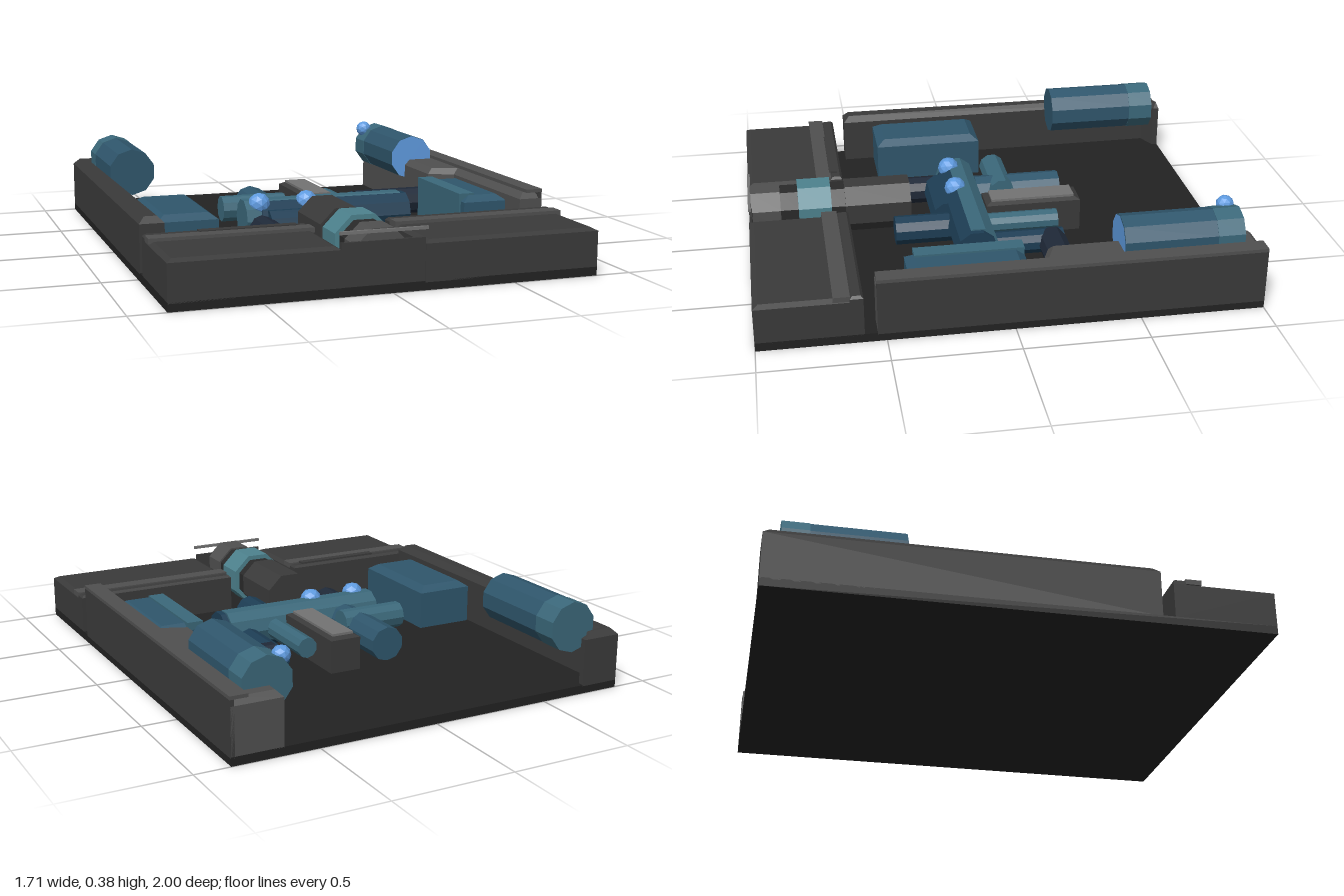
import * as THREE from 'three';

const C = {
  floor: 0x222222, hull: 0x3a3a3a, rail: 0x505050, light: 0x737373, dark: 0x2a2a2a,
  teal: 0x3b687a, pale: 0x4d828e, blue: 0x2f566c, deep: 0x1d3d54, navy: 0x1f2938, bulb: 0x5f9be0,
};

export function createModel() {
  const model = new THREE.Group();

  function add(name, geometry, color) {
    const mesh = new THREE.Mesh(geometry, new THREE.MeshStandardMaterial({ color, flatShading: true }));
    mesh.name = name;
    model.add(mesh);
    return mesh;
  }

  // Box given by its limits; the top edge is chamfered by inset and drop
  function block(name, color, [x0, x1], [y0, y1], [z0, z1], inset = 0, drop = 0) {
    const w = x1 - x0, h = y1 - y0, d = z1 - z0;
    const g = new THREE.BoxGeometry(w, h, d, 1, inset ? 2 : 1, 1);
    const p = g.attributes.position;
    for (let i = 0; inset && i < p.count; i++) {
      const y = p.getY(i);
      if (Math.abs(y) < 1e-6) p.setY(i, h / 2 - drop);
      else if (y > 0) {
        p.setX(i, p.getX(i) * (1 - 2 * inset / w));
        p.setZ(i, p.getZ(i) * (1 - 2 * inset / d));
      }
    }
    g.translate((x0 + x1) / 2, (y0 + y1) / 2, (z0 + z1) / 2);
    return add(name, g, color);
  }

  // Lying cylinder from a to b along the x or z axis
  function drum(name, color, axis, a, b, cross, y, r, sides = 10, turn = 0) {
    const g = new THREE.CylinderGeometry(r, r, b - a, sides, 1, false, turn);
    const mid = (a + b) / 2;
    if (axis === 'x') g.rotateZ(Math.PI / 2).translate(mid, y, cross);
    else g.rotateX(Math.PI / 2).translate(cross, y, mid);
    return add(name, g, color);
  }

  // Prism over a plan outline of [x, z] points with a chamfered top
  function plan(name, color, points, y0, y1, bevel) {
    const shape = new THREE.Shape(points.map(([x, z]) => new THREE.Vector2(x, -z)));
    const g = new THREE.ExtrudeGeometry(shape, {
      depth: y1 - y0 - bevel, bevelEnabled: true, bevelSegments: 1,
      bevelSize: bevel, bevelThickness: bevel, bevelOffset: -bevel,
    });
    g.rotateX(-Math.PI / 2).translate(0, y0, 0);
    return add(name, g, color);
  }

  const bulb = (name, x, y, z, r) =>
    add(name, new THREE.IcosahedronGeometry(r, 1).translate(x, y, z), C.bulb);

  // Floor and side walls
  block('floor', C.floor, [-0.855, 0.855], [0, 0.035], [-1, 1]);
  plan('rightWall', C.hull, [[-0.855, -1], [-0.69, -1], [-0.69, -0.975], [-0.77, -0.94],
    [-0.755, 0.535], [-0.855, 0.535]], 0.03, 0.25, 0.025);
  plan('leftWall', C.rail, [[0.855, -1], [0.855, 0.535], [0.755, 0.535], [0.755, -0.12],
    [0.645, -0.165], [0.645, -1]], 0.03, 0.25, 0.025);
  block('leftWallCap', C.rail, [0.785, 0.857], [0.25, 0.264], [-1, 0.535]);
  block('leftWallSkin', C.hull, [0.84, 0.856], [0.03, 0.25], [-1, 0.535]);

  // Front blocks with ledges, either side of the passage
  for (const [x0, x1] of [[-0.855, -0.205], [0.13, 0.855]]) {
    block('frontBlock', C.hull, [x0, x1], [0.03, 0.19], [0.585, 1], 0.022, 0.012);
    block('frontLedge', C.rail, [x0, x1], [0.182, 0.203], [0.635, 0.7]);
    block('ledgeBack', C.hull, [x0, x1], [0.17, 0.2], [0.585, 0.637], 0.01, 0.01);
  }
  block('ledgePlate', C.hull, [-0.645, -0.255], [0.198, 0.207], [0.605, 0.64]);

  // Passage: gate, bar and ringed tube
  block('gate', C.hull, [-0.205, 0.13], [0.03, 0.203], [0.985, 0.997]);
  block('gateBar', C.light, [-0.21, 0.14], [0.233, 0.245], [0.988, 1]);
  const tube = [
    ['tubeBody', C.hull, 0.31, 0.59, 0.113],
    ['tubeNeck', C.dark, 0.59, 0.65, 0.104],
    ['tubeRing', C.pale, 0.65, 0.79, 0.125],
    ['tubeNeck', C.dark, 0.79, 0.865, 0.104],
    ['tubeMouth', C.rail, 0.865, 0.99, 0.112],
  ];
  for (const [name, color, a, b, r] of tube) drum(name, color, 'z', a, b, -0.04, 0.145, r, 8, Math.PI / 8);

  // Side consoles
  block('rightConsole', C.blue, [-0.755, -0.505], [0.03, 0.222], [-0.075, 0.4], 0.035, 0.025);
  block('leftConsole', C.blue, [0.565, 0.76], [0.03, 0.222], [-0.075, 0.4], 0.035, 0.025);
  block('leftConsoleRidge', C.teal, [0.557, 0.625], [0.03, 0.23], [-0.075, 0.365]);

  // Rear tanks
  for (const [name, x] of [['rightTank', -0.68], ['leftTank', 0.677]]) {
    drum(name, C.blue, 'z', -0.82, -0.445, x, 0.26, 0.104);
    drum(name + 'Cap', C.teal, 'z', -0.93, -0.82, x, 0.26, 0.106);
  }
  add('leftTankFace', new THREE.CircleGeometry(0.103, 10, Math.PI / 2).translate(0.677, 0.26, -0.443), C.bulb);
  bulb('tankBulb', 0.605, 0.345, -0.895, 0.037);

  // Central cluster of cylinders
  drum('mainDrum', C.teal, 'x', -0.315, 0.395, 0.07, 0.122, 0.086);
  drum('mainDrumSleeve', C.deep, 'x', -0.25, 0.42, 0.08, 0.115, 0.088);
  drum('lowerDrum', C.deep, 'x', -0.225, 0.07, 0.15, 0.1, 0.072);
  drum('rearDrum', C.blue, 'z', -0.375, 0.0, -0.152, 0.106, 0.074);
  drum('crossDrum', C.teal, 'x', -0.36, -0.075, -0.11, 0.135, 0.056);
  drum('rearPipe', C.teal, 'z', -0.3, 0.0, 0.187, 0.12, 0.044);
  drum('rearPipe', C.deep, 'z', -0.3, 0.0, 0.318, 0.09, 0.051);
  drum('sideDrum', C.navy, 'x', 0.32, 0.645, -0.252, 0.09, 0.062);
  drum('frontPipe', C.deep, 'z', 0.1, 0.39, 0.13, 0.09, 0.062);
  drum('frontPipe', C.navy, 'z', 0.1, 0.36, -0.25, 0.09, 0.059);
  bulb('drumBulb', -0.25, 0.19, 0.105, 0.047);
  bulb('drumBulb', -0.04, 0.19, 0.105, 0.047);

  // Chest behind the main drum
  block('chest', C.hull, [0.003, 0.138], [0.03, 0.185], [-0.415, -0.005], 0.02, 0.01);
  block('chestLid', C.light, [0.023, 0.118], [0.18, 0.195], [-0.39, -0.03]);

  return model;
}
